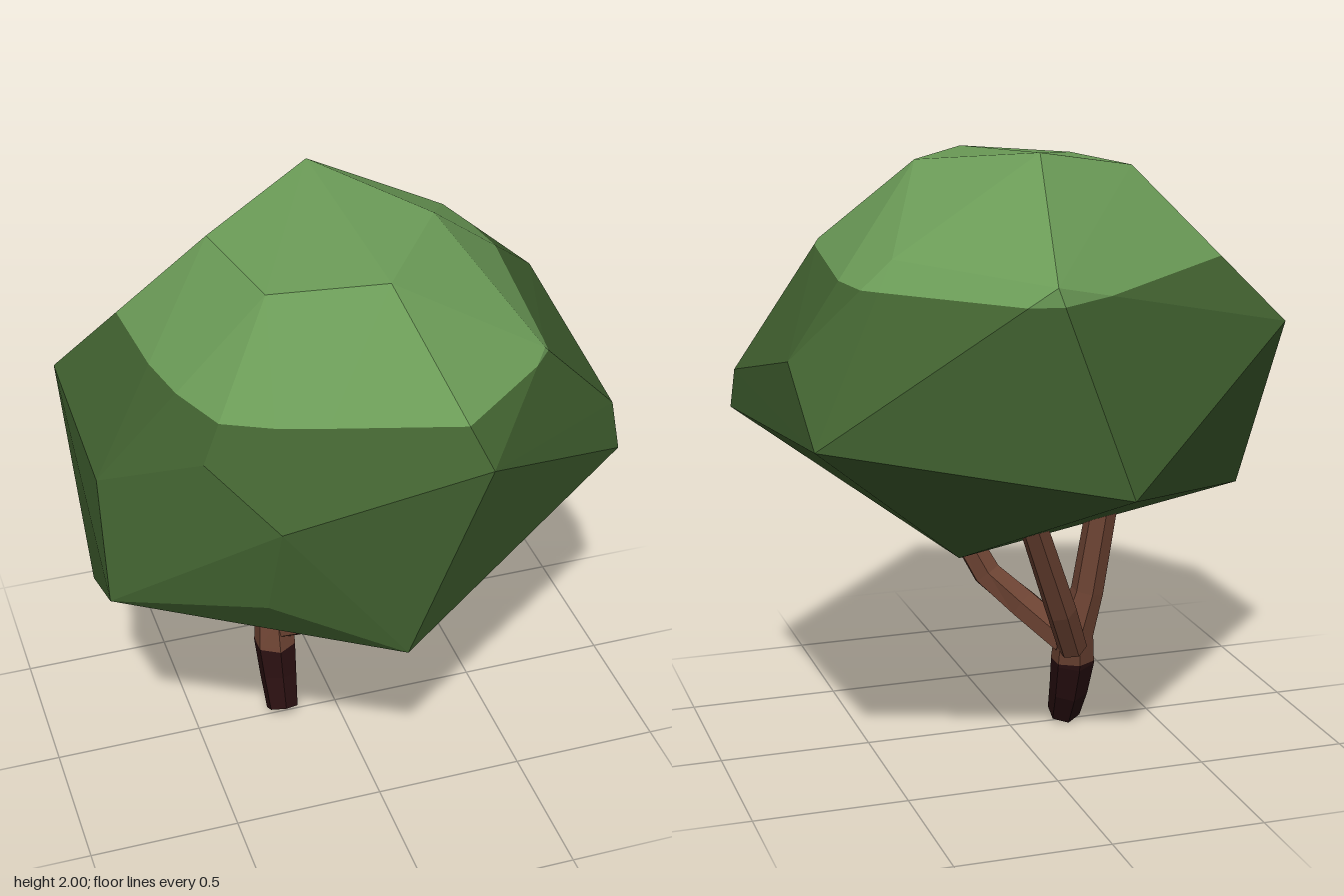
import * as THREE from 'three';
import { ConvexGeometry } from 'three/addons/geometries/ConvexGeometry.js';

const material = (name, color) => {
  const m = new THREE.MeshStandardMaterial({ color, flatShading: true });
  m.name = name;
  return m;
};

// Cut a geometry at a height and return the pieces below and above it
function splitAtHeight(geometry, h) {
  const pos = (geometry.index ? geometry.toNonIndexed() : geometry).attributes.position;
  const clip = (sign) => {
    const out = [];
    for (let i = 0; i < pos.count; i += 3) {
      const tri = [0, 1, 2].map((k) => new THREE.Vector3().fromBufferAttribute(pos, i + k));
      const poly = [];
      tri.forEach((a, k) => {
        const b = tri[(k + 1) % 3];
        const da = sign * (a.y - h), db = sign * (b.y - h);
        if (da >= 0) poly.push(a);
        if (da * db < 0) poly.push(a.clone().lerp(b, da / (da - db)));
      });
      for (let k = 1; k + 1 < poly.length; k++) {
        for (const p of [poly[0], poly[k], poly[k + 1]]) out.push(p.x, p.y, p.z);
      }
    }
    const g = new THREE.BufferGeometry();
    g.setAttribute('position', new THREE.Float32BufferAttribute(out, 3));
    g.computeVertexNormals();
    return g;
  };
  return [clip(-1), clip(1)];
}

// Tapered six-sided limb through [x, y, z, radius] stations, closed at both ends
function limb(stations, sides = 6) {
  const pts = stations.map((s) => new THREE.Vector3(s[0], s[1], s[2]));
  const n = pts.length, verts = [], idx = [];
  pts.forEach((p, i) => {
    const t = pts[Math.min(i + 1, n - 1)].clone().sub(pts[Math.max(i - 1, 0)]).normalize();
    const u = new THREE.Vector3(0, 0, 1).cross(t).negate().normalize();
    const w = u.clone().cross(t);
    for (let k = 0; k < sides; k++) {
      const a = ((k + 0.5) / sides) * Math.PI * 2;
      const v = p.clone()
        .addScaledVector(u, Math.cos(a) * stations[i][3])
        .addScaledVector(w, Math.sin(a) * stations[i][3]);
      verts.push(v.x, v.y, v.z);
    }
  });
  for (let i = 0; i < n - 1; i++) {
    for (let k = 0; k < sides; k++) {
      const a = i * sides + k, b = i * sides + ((k + 1) % sides);
      idx.push(a, a + sides, b, b, a + sides, b + sides);
    }
  }
  const top = (n - 1) * sides;
  for (let k = 1; k + 1 < sides; k++) idx.push(0, k, k + 1, top, top + k + 1, top + k);
  // Make sure the winding faces outward
  const g = new THREE.BufferGeometry();
  g.setAttribute('position', new THREE.Float32BufferAttribute(verts, 3));
  const at = (i) => new THREE.Vector3().fromArray(verts, i * 3);
  const normal = at(idx[1]).sub(at(idx[0])).cross(at(idx[2]).sub(at(idx[0])));
  if (normal.dot(at(0).sub(pts[0])) < 0) idx.reverse();
  g.setIndex(idx);
  return g.toNonIndexed();
}

export function createModel() {
  const lightLeaf = material('light leaf', 0x6b9b57);
  const darkLeaf = material('dark leaf', 0x40602f);
  const bark = material('bark', 0x6b4232);
  const darkBark = material('dark bark', 0x280f10);
  const tree = new THREE.Group();
  tree.name = 'tree';
  const add = (name, geometry, mat) => {
    geometry.computeVertexNormals();
    const mesh = new THREE.Mesh(geometry, mat);
    mesh.name = name;
    tree.add(mesh);
  };

  // Faceted crown, lighter above the cut
  const crown = new ConvexGeometry([
    // top facet
    [0, 2, -0.3], [-0.395, 1.915, -0.06], [-0.32, 1.91, 0.33], [0.04, 1.935, 0.42], [0.3, 1.945, 0.065],
    // shoulders
    [0.5, 1.71, -0.39], [0.53, 1.64, 0.45], [0.12, 1.68, -0.825], [0.21, 1.525, 0.87],
    [-0.59, 1.53, 0.59], [-0.42, 1.395, 0.815], [-0.86, 1.41, -0.27], [-0.86, 1.36, 0.33],
    // widest belt
    [0.83, 1.42, -0.4], [0.82, 1.21, -0.69], [0.865, 1.255, 0.26], [0.87, 1.115, 0.32],
    [-0.455, 1.11, 0.775], [-0.875, 1.03, 0.5], [-0.11, 1.03, -0.875],
    // underside
    [-0.03, 0.875, 0.83], [-0.84, 0.78, 0.05], [0.19, 0.63, -0.04],
  ].map((p) => new THREE.Vector3(...p)));
  const [crownLow, crownHigh] = splitAtHeight(crown, 1.622);
  add('lowerCrown', crownLow, darkLeaf);
  add('upperCrown', crownHigh, lightLeaf);

  // Leaning trunk running into the left branch, dark at the foot
  const trunk = limb([
    [-0.197, 0.026, 0.007, 0.056], [-0.193, 0.13, -0.052, 0.066], [-0.193, 0.25, -0.092, 0.074],
    [-0.19, 0.36, -0.115, 0.066], [-0.232, 0.5, -0.122, 0.055], [-0.282, 0.8, -0.125, 0.052],
  ]);
  const [foot, stem] = splitAtHeight(trunk, 0.25);
  add('trunkFoot', foot, darkBark);
  add('trunkAndLeftBranch', stem, bark);

  // Side branches
  add('frontBranch', limb([
    [-0.17, 0.32, -0.09, 0.055], [-0.06, 0.42, 0.035, 0.056],
    [0.045, 0.515, 0.115, 0.052], [0.175, 0.77, 0.19, 0.046],
  ]), bark);
  add('backBranch', limb([
    [-0.175, 0.31, -0.14, 0.05], [-0.11, 0.47, -0.21, 0.052], [0.04, 0.85, -0.32, 0.046],
  ]), bark);
  return tree;
}
